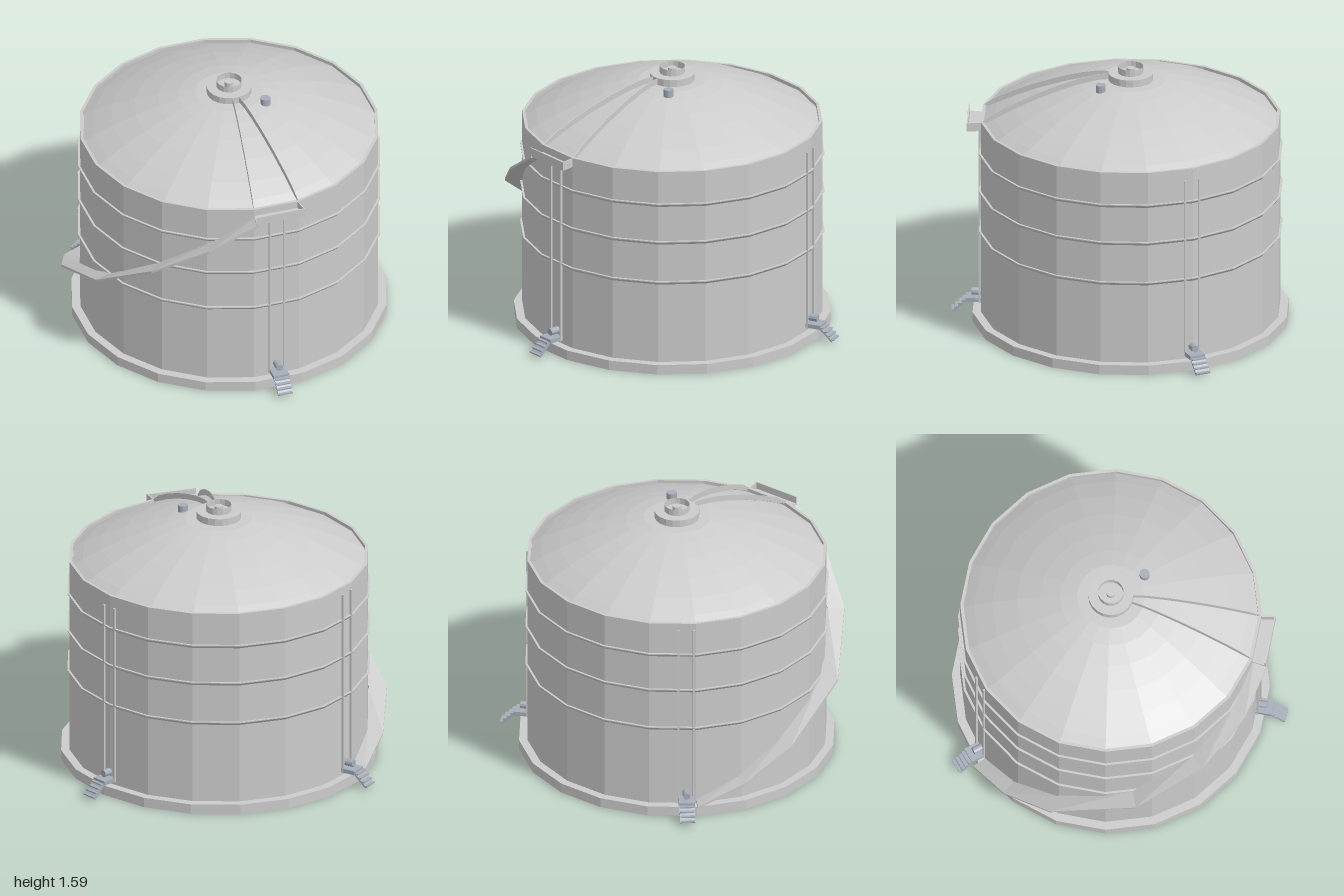
import * as THREE from 'three';

const SIDES = 20;
const WALL_R = 0.89;
const steel = new THREE.MeshStandardMaterial({ color: 0xcccccc, flatShading: true });
const sheet = new THREE.MeshStandardMaterial({ color: 0xcccccc, flatShading: true, side: THREE.DoubleSide });
const fitting = new THREE.MeshStandardMaterial({ color: 0xa6aeb8, flatShading: true });

// Roof profile as [radius, height], rim to crown
const ROOF = [[0.87, 1.25], [0.81, 1.285], [0.7, 1.34], [0.56, 1.4], [0.42, 1.45], [0.3, 1.485], [0.2, 1.505], [0, 1.51]];

function add(parent, name, geometry, material, x = 0, y = 0, z = 0) {
  const mesh = new THREE.Mesh(geometry, material);
  mesh.name = name;
  mesh.position.set(x, y, z);
  parent.add(mesh);
  return mesh;
}

const lathe = (pts, sides = SIDES) =>
  new THREE.LatheGeometry(pts.map(([r, y]) => new THREE.Vector2(r, y)), sides);

// Point at radius r, height y, angle a in degrees from +x towards +z
function polar(r, y, a) {
  const t = THREE.MathUtils.degToRad(a);
  return [r * Math.cos(t), y, r * Math.sin(t)];
}

// Closed bar through a list of four-cornered cross-sections
function loft(sections) {
  const index = [];
  for (let i = 0; i < sections.length - 1; i++) {
    for (let j = 0; j < 4; j++) {
      const a = i * 4 + j, b = i * 4 + (j + 1) % 4;
      index.push(a, b, b + 4, a, b + 4, a + 4);
    }
  }
  const e = (sections.length - 1) * 4;
  index.push(0, 2, 1, 0, 3, 2, e, e + 1, e + 2, e, e + 2, e + 3);
  const g = new THREE.BufferGeometry();
  g.setAttribute('position', new THREE.Float32BufferAttribute(sections.flat(2), 3));
  g.setIndex(index);
  g.computeVertexNormals();
  return g;
}

// Section spanning radii r0..r1 and heights y0..y1 at one angle
const section = (r0, r1, y0, y1, a) =>
  [polar(r0, y0, a), polar(r0, y1, a), polar(r1, y1, a), polar(r1, y0, a)];

// Wall ladder with landing, short steps and a valve; local +x points outwards
function accessPoint(angle, top) {
  const g = new THREE.Group();
  g.name = 'accessPoint';
  g.rotation.y = -THREE.MathUtils.degToRad(angle);
  for (const s of [-1, 1]) {
    add(g, 'ladderRail', new THREE.BoxGeometry(0.012, top - 0.08, 0.012), steel, 0.892, (top + 0.08) / 2, s * 0.045);
  }
  add(g, 'landing', new THREE.BoxGeometry(0.1, 0.025, 0.095), fitting, 0.925, 0.095, 0);
  const valve = add(g, 'valve', new THREE.CylinderGeometry(0.022, 0.022, 0.07, 10), fitting, 0.905, 0.135, 0);
  valve.rotation.z = Math.PI / 2;
  const ramp = add(g, 'stepFrame', new THREE.BoxGeometry(0.112, 0.01, 0.09), fitting, 1.008, 0.056, 0);
  ramp.rotation.z = -0.75;
  for (let i = 0; i < 4; i++) {
    add(g, 'step', new THREE.BoxGeometry(0.028, 0.008, 0.085), fitting, 0.982 + i * 0.021, 0.09 - i * 0.021, 0);
  }
  return g;
}

export function createModel() {
  const model = new THREE.Group();
  model.name = 'storageTank';
  const tank = new THREE.Group();
  tank.name = 'tank';
  tank.position.x = 0.05;
  model.add(tank);

  // Base slab, shell with a thin rim, domed roof
  add(tank, 'base', lathe([[0, 0], [0.94, 0], [0.94, 0.06], [0, 0.06]]), steel);
  add(tank, 'wall', lathe([[WALL_R, 0.05], [WALL_R, 1.27], [0.872, 1.27], [0.872, 1.24]]), steel);
  add(tank, 'roof', lathe(ROOF), steel);

  // Wedge-shaped stiffening rings
  for (const y of [1.07, 0.83, 0.575]) {
    add(tank, 'ring', lathe([[0.885, y - 0.028], [0.903, y - 0.006], [0.903, y], [0.885, y]]), steel);
  }

  // Crown vent and roof pipe
  add(tank, 'ventFlange', new THREE.CylinderGeometry(0.133, 0.133, 0.05, 20), steel, 0, 1.525, 0);
  add(tank, 'ventNeck', new THREE.CylinderGeometry(0.075, 0.075, 0.04, 16, 1, true), sheet, 0, 1.57, 0);
  add(tank, 'ventPin', new THREE.CylinderGeometry(0.026, 0.026, 0.03, 12), steel, 0, 1.565, 0);
  add(tank, 'roofPipe', new THREE.CylinderGeometry(0.03, 0.03, 0.06, 12), fitting, 0.24, 1.507, 0);

  // Two handrails running from the vent down the roof to the platform
  const railPath = [[0.885, 1.25], ...ROOF.slice(1, -1), [0.12, 1.508]];
  for (const a of [36, 54]) {
    add(tank, 'roofRail', loft(railPath.map(([r, y]) => {
      const low = y + 0.005, high = y + (r > 0.85 ? 0.02 : 0.04);
      return [...[-0.002, 0.002].map((d, i) => {
        const p = polar(r, i ? high : low, a), q = polar(r, i ? low : high, a);
        p[2] += d; q[2] += d;
        return [p, q];
      })].flat();
    })), sheet);
  }

  // Platform at the roof edge: floor, outer panel, end panel
  add(tank, 'platformFloor', loft([36, 54].map(a => section(0.885, 0.975, 1.215, 1.225, a))), sheet);
  add(tank, 'platformPanel', loft([36, 54].map(a => section(0.967, 0.975, 1.22, 1.268, a))), sheet);
  add(tank, 'platformEnd', loft([36, 36.5].map(a => section(0.885, 0.975, 1.22, 1.268, a))), sheet);

  // Walkway spiralling down the wall: [angle, height, outer radius]
  const walk = [[53, 1.225, 0.98], [70.5, 1.04, 0.987], [91, 0.83, 0.995], [115.5, 0.58, 1.0],
    [145, 0.36, 1.0], [163.6, 0.205, 0.99], [180, 0.085, 0.98]];
  add(tank, 'spiralStair', loft(walk.map(([a, y, r]) => section(0.895, r, y - 0.016, y, a))), sheet);

  // Ladders around the shell
  for (const [a, top] of [[45, 1.22], [183.8, 1.23], [-71.5, 1.2]]) tank.add(accessPoint(a, top));

  return model;
}
